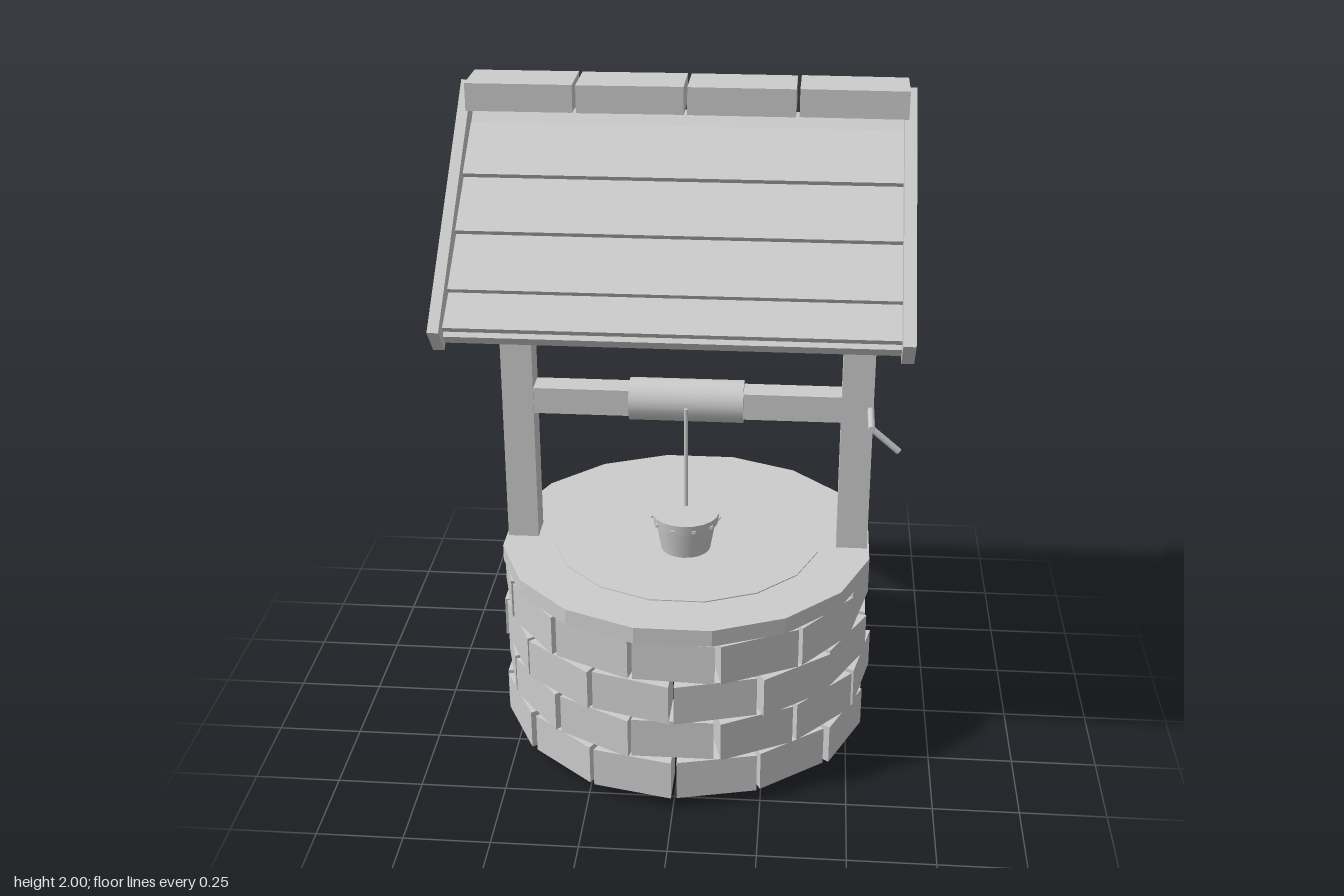
import * as THREE from 'three';

export function createModel() {
  const model = new THREE.Group();
  const grey = new THREE.MeshStandardMaterial({ color: 0xcccccc });
  grey.name = 'plain grey';

  let seed = 7;
  const jitter = (a) => {
    seed = (seed * 16807) % 2147483647;
    return (seed / 2147483647 * 2 - 1) * a;
  };

  function add(name, geometry, x = 0, y = 0, z = 0) {
    const mesh = new THREE.Mesh(geometry, grey);
    mesh.name = name;
    mesh.position.set(x, y, z);
    model.add(mesh);
    return mesh;
  }
  const box = (name, w, h, d, x, y, z) => add(name, new THREE.BoxGeometry(w, h, d), x, y, z);
  const shapeOf = (pts) => new THREE.Shape(pts.map(([a, b]) => new THREE.Vector2(a, b)));

  // Prism with a (z, y) outline, running from x0 to x1
  function prism(name, pts, x0, x1) {
    const g = new THREE.ExtrudeGeometry(shapeOf(pts), { depth: x1 - x0, bevelEnabled: false });
    g.rotateY(-Math.PI / 2).translate(x1, 0, 0);
    return add(name, g);
  }

  // Rod between two points
  function rod(name, a, b, r) {
    const p = new THREE.Vector3(...a), q = new THREE.Vector3(...b);
    const dir = q.clone().sub(p);
    const mesh = add(name, new THREE.CylinderGeometry(r, r, dir.length(), 8));
    mesh.position.copy(p).add(q).multiplyScalar(0.5);
    mesh.quaternion.setFromUnitVectors(new THREE.Vector3(0, 1, 0), dir.normalize());
  }

  // Well wall: four staggered courses of wedge-shaped bricks
  const count = 14, step = Math.PI * 2 / count;
  for (let course = 0; course < 4; course++) {
    const offset = course % 2 ? 0 : step / 2;
    for (let i = 0; i < count; i++) {
      const mid = Math.PI / 2 + offset + i * step;
      const a0 = mid - step / 2 + 0.012 + jitter(0.008);
      const a1 = mid + step / 2 - 0.012 + jitter(0.008);
      const at = (r, a) => [r * Math.cos(a), r * Math.sin(a)];
      const g = new THREE.ExtrudeGeometry(shapeOf([
        at(0.44, a0), at(0.56 + jitter(0.008), a0),
        at(0.56 + jitter(0.008), a1), at(0.44, a1),
      ]), { depth: 0.122, bevelEnabled: false });
      g.rotateX(-Math.PI / 2);
      add('brick', g, 0, 0.038 + course * 0.13, 0);
    }
  }

  // Coping ring and the disc closing the shaft
  const sides = 16;
  const polygon = (r) => Array.from({ length: sides }, (_, i) => {
    const a = (i + 0.5) * Math.PI * 2 / sides;
    return [r * Math.cos(a), r * Math.sin(a)];
  });
  const ring = shapeOf(polygon(0.56));
  ring.holes.push(new THREE.Path(polygon(0.40).map(([a, b]) => new THREE.Vector2(a, b))));
  const coping = new THREE.ExtrudeGeometry(ring, { depth: 0.05, bevelEnabled: false });
  add('coping', coping.rotateX(-Math.PI / 2), 0, 0.55, 0);
  const disc = new THREE.ExtrudeGeometry(shapeOf(polygon(0.405)), { depth: 0.014, bevelEnabled: false });
  add('wellCover', disc.rotateX(-Math.PI / 2), 0, 0.589, 0);

  // Posts and cross beam
  for (const s of [-1, 1]) box('post', 0.092, 1.56, 0.09, s * 0.497, 0.78, 0);
  box('crossBeam', 0.92, 0.08, 0.08, 0, 1.05, 0);

  // Winding drum, rope and crank
  const drum = new THREE.CylinderGeometry(0.063, 0.063, 0.335, 24).rotateZ(Math.PI / 2);
  add('drum', drum, -0.002, 1.05, 0);
  rod('rope', [0, 0.735, 0.066], [0, 1.05, 0.066], 0.006);
  rod('crankArm', [0.535, 1.055, 0], [0.535, 1.055, 0.178], 0.01);
  rod('crankGrip', [0.53, 1.058, 0.168], [0.615, 0.985, 0.168], 0.01);

  // Bucket with its rim band and studs
  add('bucket', new THREE.CylinderGeometry(0.094, 0.074, 0.115, 20), 0, 0.66, 0.076);
  add('bucketRim', new THREE.CylinderGeometry(0.1, 0.097, 0.03, 20), 0, 0.705, 0.076);
  for (let i = 0; i < 10; i++) {
    const a = i * Math.PI / 5;
    box('bucketStud', 0.012, 0.008, 0.012, 0.097 * Math.cos(a), 0.7, 0.076 + 0.097 * Math.sin(a));
  }

  // Roof: s runs down the slope, d goes inward from the outer face
  const pitch = Math.atan2(0.51, 0.595), c = Math.cos(pitch), n = Math.sin(pitch), ridge = 1.99;
  const at = (s, d, side) => [side * (s * c - d * n), ridge - s * n - d * c];
  const chevron = (top, bottom, len) => [
    [0, ridge - top / c], at(len, top, 1), at(len, bottom, 1),
    [0, ridge - bottom / c], at(len, bottom, -1), at(len, top, -1),
  ];
  prism('roofDeck', chevron(0.055, 0.088, 0.765), -0.6, 0.6);
  prism('roofTrimLeft', chevron(0, 0.094, 0.784), 0.587, 0.62);
  prism('roofTrimRight', chevron(0, 0.094, 0.784), -0.622, -0.592);

  // Lapped boards on both slopes
  const laps = [0.103, 0.281, 0.459, 0.636, 0.75];
  for (const side of [-1, 1]) {
    for (let i = 0; i < 4; i++) {
      const s0 = laps[i], s1 = laps[i + 1];
      prism('roofBoard', [
        at(s0, 0.052, side), at(s1, 0.035, side), at(s1, 0.06, side), at(s0, 0.06, side),
      ], -0.595, 0.59);
    }
  }

  // Ridge caps, each a little uneven
  for (let i = 0; i < 4; i++) {
    const cap = box('ridgeCap', 0.292, 0.076, 0.158, -0.453 + i * 0.302, 1.961, 0);
    cap.rotation.set(0, jitter(0.008), jitter(0.006));
  }

  return model;
}
